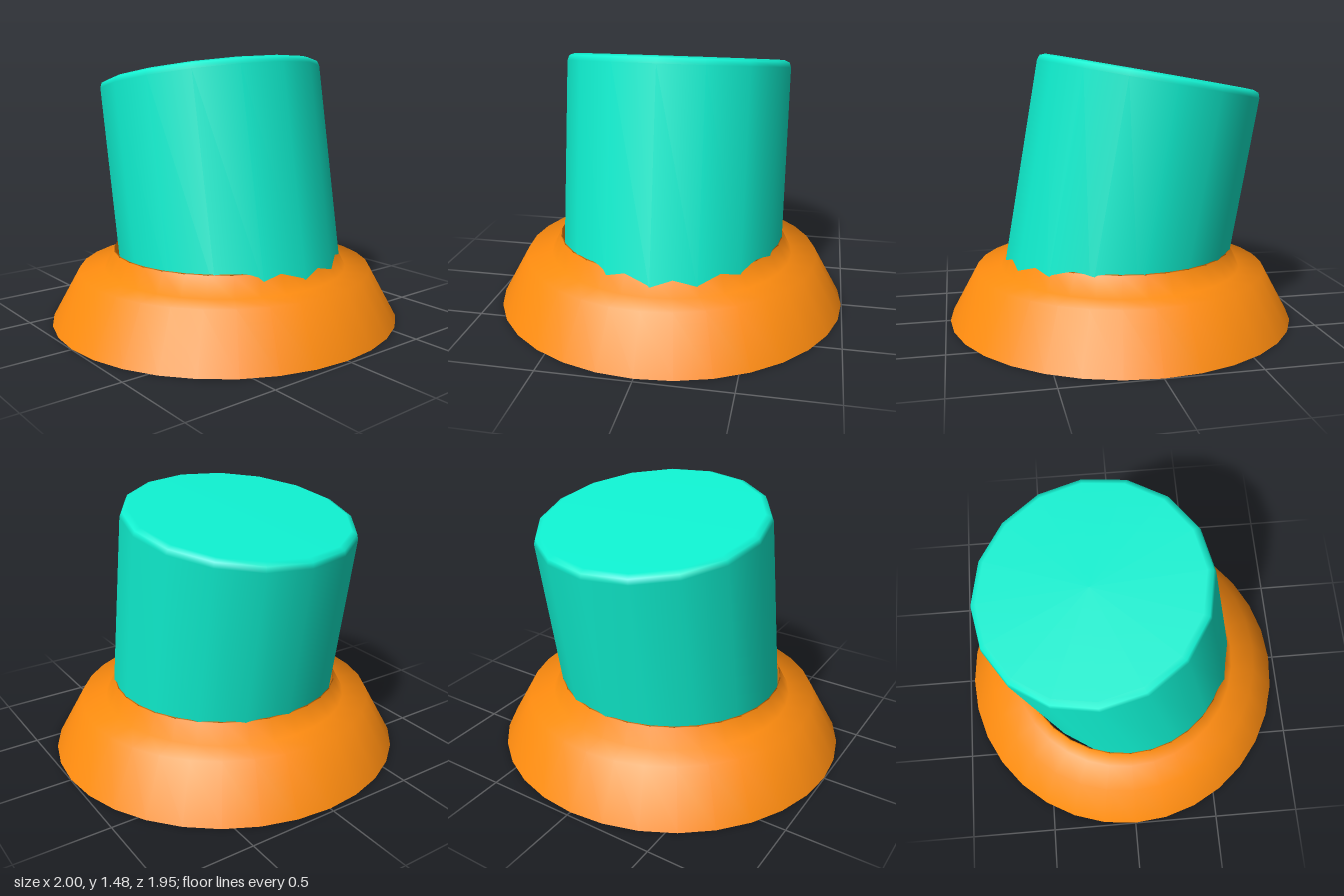
import * as THREE from 'three';

// Surface of revolution from [radius, height] pairs
function turned(name, profile, sides, color) {
  const points = profile.map(([r, y]) => new THREE.Vector2(r, y));
  const material = new THREE.MeshStandardMaterial({ color, side: THREE.DoubleSide });
  const mesh = new THREE.Mesh(new THREE.LatheGeometry(points, sides), material);
  mesh.name = name;
  return mesh;
}

export function createModel() {
  const group = new THREE.Group();
  group.name = 'pushButton';

  // Hollow flared base: skirt, flat step, raised collar and inner sleeve
  const base = turned('base', [
    [0.998, 0], [0.84, 0.285], [0.70, 0.29], [0.645, 0.395], [0.64, 0.4],
    [0.643, 0.365], [0.645, 0.16],
  ], 32, 0xff8c0f);
  base.scale.z = 0.977;
  group.add(base);

  // Open-bottomed cap with a small bevel, leaning towards the back
  const length = 1.18;
  const cap = turned('cap', [
    [0.63, 0], [0.63, length - 0.04], [0.62, length - 0.012], [0.59, length], [0, length],
  ], 16, 0x0ff0d0);
  cap.position.set(0.012, 0.22, 0.04);
  cap.rotation.x = THREE.MathUtils.degToRad(-10);
  group.add(cap);

  return group;
}
